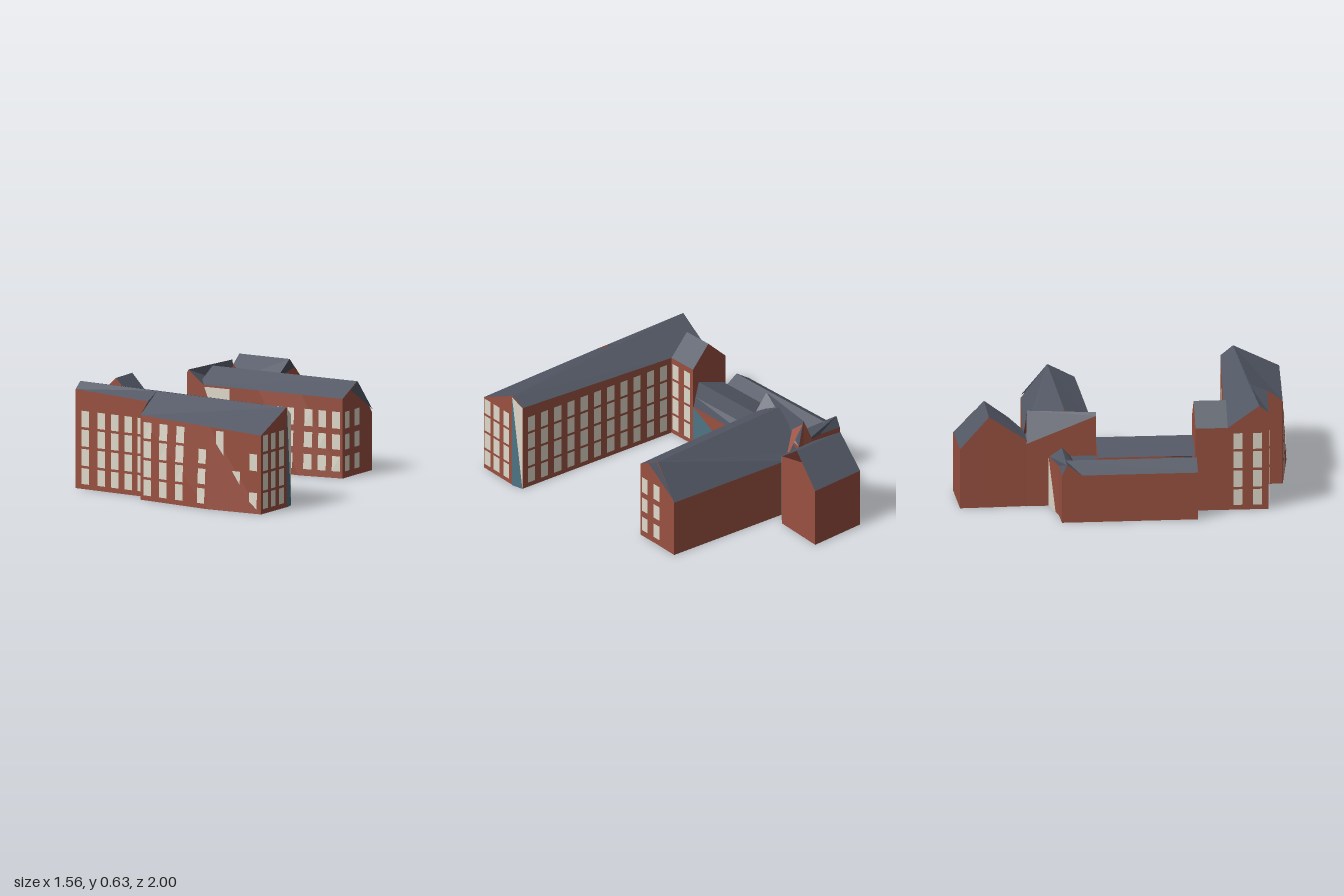
import * as THREE from 'three';

const mat = (name, color) => {
  const m = new THREE.MeshStandardMaterial({ color, side: THREE.DoubleSide, flatShading: true });
  m.name = name;
  return m;
};
const brick = mat('brick', 0x995141);
const slate = mat('slate', 0x535865);
const cream = mat('cream', 0xdfd9ca);
const teal = mat('teal', 0x4f7483);

// One mesh from flat polygons, each a list of [x, y, z] corners
function polyMesh(name, polys, material) {
  const pos = [];
  for (const p of polys)
    for (let i = 1; i < p.length - 1; i++) pos.push(...p[0], ...p[i], ...p[i + 1]);
  const g = new THREE.BufferGeometry();
  g.setAttribute('position', new THREE.Float32BufferAttribute(pos, 3));
  g.computeVertexNormals();
  const m = new THREE.Mesh(g, material);
  m.name = name;
  return m;
}

// Walls from an outline of [x, z, wall height, lean of the top]; roof corners are outline indices or points
function building(name, outline, roofs, hasFloor = true) {
  const group = new THREE.Group();
  group.name = name;
  const top = outline.map(([x, z, h, lean = 0]) => [x, h, z - lean]);
  const foot = outline.map(([x, z]) => [x, 0, z]);
  const faces = foot.map((a, i) => {
    const j = (i + 1) % foot.length;
    return [foot[j], top[j], top[i], a];
  });
  if (hasFloor) {
    const shape = outline.map(([x, z]) => new THREE.Vector2(x, z));
    faces.push(...THREE.ShapeUtils.triangulateShape(shape, []).map((t) => t.map((i) => foot[i])));
  }
  group.add(polyMesh(name + 'Walls', faces, brick));
  group.add(polyMesh(name + 'Roof', roofs.map((r) => r.map((c) => (Array.isArray(c) ? c : top[c]))), slate));
  return group;
}

// Flat shapes laid on the wall from a to b ([x, z], left to right seen outside); corners are [distance, y]
function panels(name, a, b, shapes, material, lean = () => 0) {
  const len = Math.hypot(b[0] - a[0], b[1] - a[1]);
  const dx = (b[0] - a[0]) / len, dz = (b[1] - a[1]) / len;
  return polyMesh(name, shapes.map((s) => s.map(([d, y]) => {
    const off = 0.004 - lean(d, y);
    return [a[0] + dx * d - dz * off, y, a[1] + dz * d + dx * off];
  })), material);
}
const grid = (cols, rows, w) => cols.flatMap((c) => rows.map(([y0, y1]) =>
  [[c - w / 2, y0], [c + w / 2, y0], [c + w / 2, y1], [c - w / 2, y1]]));
const spread = (n, from, to) => Array.from({ length: n }, (_, i) => from + (to - from) * i / (n - 1));

const rows4 = [[0.03, 0.125], [0.14, 0.24], [0.255, 0.355], [0.37, 0.467]];
const rows3 = [[0.04, 0.13], [0.17, 0.26], [0.295, 0.395]];

export function createModel() {
  const model = new THREE.Group();
  model.name = 'brickBuildingComplex';

  // Long front wing, its facade stepping forward and bulging at the foot
  const ridgeMid = [-0.085, 0.617, 0.735];
  const bulge = 0.033;
  model.add(building('frontWing', [
    [-0.595, 0.81, 0.59], [-0.085, 0.845, 0.57], [-0.085, 0.935, 0.505], [0.4, 0.997, 0.485, bulge],
    [0.76, 0.985, 0.47], [0.775, 0.715, 0.595], [0.76, 0.64, 0.54], [-0.34, 0.57, 0.5],
    [-0.595, 0.57, 0.5], [-0.595, 0.755, 0.63],
  ], [
    [0, 1, ridgeMid, 9], [1, 2, ridgeMid], [2, 3, 4, 5, ridgeMid], [5, 6, 7, 8, 9],
  ]));
  model.add(panels('frontLeftWindows', [-0.595, 0.81], [-0.085, 0.845],
    grid([0.07, 0.185, 0.278, 0.373, 0.465], rows4, 0.053), cream));
  model.add(panels('frontMiddleWindows', [-0.085, 0.935], [0.4, 0.997], [
    ...grid([0.055, 0.168, 0.286], rows4, 0.055),
    ...grid([0.445], [[0.03, 0.12], [0.145, 0.235], [0.265, 0.35]], 0.052),
  ], cream, (d, y) => bulge * Math.max(0, d / 0.489 + y / 0.5 - 1)));
  model.add(panels('frontRightWindows', [0.4, 0.997], [0.76, 0.985], [
    [[0.05, 0.39], [0.1, 0.325], [0.1, 0.467], [0.05, 0.467]],
    [[0.16, 0.24], [0.215, 0.16], [0.215, 0.24]],
    ...grid([0.307], rows4.slice(2, 3), 0.052),
    [[0.28, 0.125], [0.28, 0.07], [0.333, 0.025], [0.333, 0.125]],
  ], cream, (d, y) => bulge * Math.min(y / 0.48, 1 - d / 0.36)));
  model.add(panels('frontWingEndWindows', [0.76, 0.985], [0.775, 0.715],
    grid([0.04, 0.125, 0.215], rows4, 0.053), cream));
  model.add(panels('frontWingBackWindows', [0.76, 0.64], [-0.34, 0.57],
    grid(spread(11, 0.06, 1.04), rows4, 0.053), cream));
  model.add(panels('frontWingWestWindows', [-0.595, 0.57], [-0.595, 0.81],
    grid([0.06, 0.175], rows4, 0.053), cream));
  const chamfer = [[0.775, 0.715], [0.76, 0.64]];
  model.add(panels('cornerTealPanel', ...chamfer, [[[0, 0], [0.076, 0], [0, 0.59]]], teal));
  model.add(panels('cornerCreamPanel', ...chamfer, [[[0.076, 0], [0.076, 0.54], [0, 0.59]]], cream));

  // Tall link behind the front wing
  model.add(building('tallLink', [
    [-0.595, 0.57, 0.5], [-0.46, 0.57, 0.63], [-0.34, 0.57, 0.5],
    [-0.34, 0.38, 0.5], [-0.46, 0.38, 0.63], [-0.595, 0.38, 0.5],
  ], [[1, 2, 3, 4], [0, 1, 4, 5]]));
  model.add(panels('tallLinkWindows', [-0.34, 0.57], [-0.34, 0.38],
    grid([0.04, 0.14], rows4, 0.053), cream));

  // Low corridor, its roof falling west from a steep, creased east edge
  model.add(building('corridor', [
    [-0.598, 0.38, 0.3], [-0.578, 0.38, 0.33], [-0.385, 0.38, 0.4], [-0.36, 0.38, 0.31], [-0.345, 0.38, 0.25],
    [-0.31, -0.19, 0.27], [-0.36, -0.19, 0.31], [-0.385, -0.19, 0.4], [-0.575, -0.19, 0.33],
  ], [[1, 2, 7, 8], [2, 3, 6, 7], [3, 4, 5, 6]]));
  model.add(panels('corridorTealPanel', [-0.345, 0.38], [-0.31, -0.19],
    [[[0, 0], [0.57, 0], [0, 0.25]]], teal));
  model.add(building('corridorEnd', [
    [-0.59, -0.19, 0.3], [-0.4, -0.19, 0.3], [-0.4, -0.35, 0.3], [-0.61, -0.35, 0.3],
  ], [[0, 1, 2, 3]]));

  // West building and the low cross wing at its back
  model.add(building('westBuilding', [
    [-0.775, 0.38, 0.285], [-0.6, 0.38, 0.3], [-0.605, -0.42, 0.3], [-0.78, -0.42, 0.285],
  ], [
    [0, [-0.68, 0.35, 0.38], [-0.68, 0.35, -0.4], 3],
    [[-0.68, 0.35, 0.38], 1, 2, [-0.68, 0.35, -0.4]],
    [0, 1, [-0.68, 0.35, 0.38]],
  ]));
  model.add(building('backCrossWing', [
    [-0.78, -0.3, 0.285], [-0.61, -0.34, 0.3], [-0.42, -0.34, 0.3],
    [-0.42, -0.465, 0.3], [-0.62, -0.425, 0.3], [-0.78, -0.42, 0.285], [-0.78, -0.39, 0.35],
  ], [
    [0, 1, 2, [-0.42, 0.35, -0.39], 6],
    [6, [-0.42, 0.35, -0.39], 3, 4, 5],
  ]));
  model.add(panels('crossWingCreamPanel', [-0.42, -0.465], [-0.62, -0.425],
    [[[0, 0], [0.15, 0], [0, 0.3]]], cream));

  // Junction between the wings, with a slanting ridge and a sloping brick cheek
  model.add(building('junction', [
    [-0.42, -0.19, 0.54], [-0.41, -0.19, 0.56], [-0.315, -0.205, 0.475],
    [-0.31, -0.59, 0.4], [-0.345, -0.59, 0.56], [-0.425, -0.6, 0.38],
  ], [[0, 1, 4, 5], [1, 2, 3, 4]], false));
  model.add(polyMesh('junctionCheek',
    [[[-0.34, 0.54, -0.59], [-0.31, 0.49, -0.53], [-0.2, 0.36, -0.6]]], brick));

  // Long back wing, its rear eave lower than its front one
  model.add(building('backWing', [
    [-0.35, -0.205, 0.475], [0.05, -0.215, 0.475], [0.335, -0.19, 0.475, 0.032],
    [0.61, -0.23, 0.475], [0.615, -0.39, 0.555], [0.625, -0.545, 0.35],
    [-0.2, -0.6, 0.35], [-0.35, -0.59, 0.35], [-0.35, -0.37, 0.56],
  ], [[0, 1, 2, 3, 4, 8], [4, 5, 6, 7, 8]], false));
  model.add(panels('backWingCreamPanel', [-0.31, -0.206], [0.05, -0.215],
    [[[0.17, 0], [0.17, 0.465], [0, 0.465]]], cream));
  model.add(panels('backWingLeftWindows', [-0.31, -0.206], [0.05, -0.215],
    grid([0.215], rows3, 0.05), cream));
  model.add(panels('backWingMiddleWindows', [0.05, -0.215], [0.335, -0.19], [
    ...grid([0.045, 0.22], rows3, 0.045), ...grid([0.135], rows3.slice(1), 0.045),
  ], cream, (d, y) => 0.032 * Math.max(0, d / 0.286 + y / 0.475 - 1)));
  model.add(panels('backWingRightWindows', [0.335, -0.19], [0.61, -0.23],
    grid([0.055, 0.145, 0.235], rows3, 0.052), cream,
    (d, y) => 0.032 * Math.min(y / 0.475, 1 - d / 0.278)));
  model.add(panels('backWingEndWindows', [0.61, -0.23], [0.615, -0.39],
    grid([0.045, 0.153], rows3, 0.053), cream));
  model.add(polyMesh('backWingGable',
    [[[0.618, 0.515, -0.31], [0.629, 0.365, -0.545], [0.62, 0.553, -0.39]]], slate));

  // North block with a cut corner, its roof rising above the end wall
  const ridge = [[-0.43, 0.55, -0.82], [-0.09, 0.55, -0.82]];
  model.add(building('northBlock', [
    [-0.42, -0.595, 0.4], [-0.2, -0.6, 0.4], [-0.1, -0.68, 0.45],
    [-0.085, -0.873, 0.495], [-0.075, -1, 0.36], [-0.435, -0.99, 0.36], [-0.43, -0.82, 0.55],
  ], [[0, 1, 2, ridge[1], ridge[0]], [ridge[1], 4, 5, ridge[0]]]));
  model.add(panels('northBlockCreamPanel', [-0.2, -0.6], [-0.1, -0.68],
    [[[0.128, 0], [0.128, 0.45], [0, 0.38]]], cream));

  return model;
}
